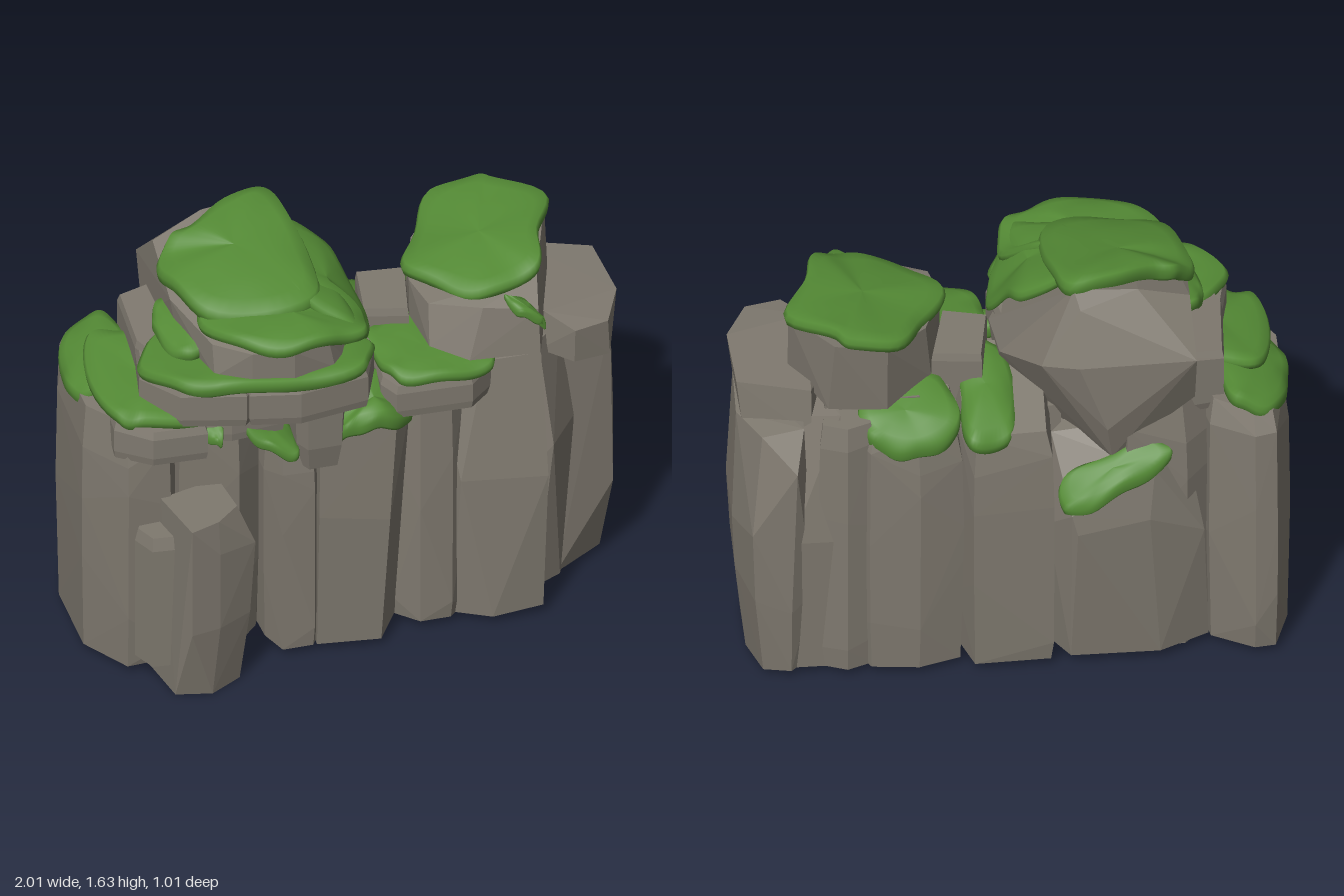
import * as THREE from 'three';
import { ConvexGeometry } from 'three/addons/geometries/ConvexGeometry.js';

const stone = new THREE.MeshStandardMaterial({ color: 0x7f796f });
stone.name = 'stone';
const mossGreen = new THREE.MeshStandardMaterial({ color: 0x548a35 });
mossGreen.name = 'moss green';

export function createModel() {
  const group = new THREE.Group();
  const add = (name, geometry, material) => {
    const mesh = new THREE.Mesh(geometry, material);
    mesh.name = name;
    group.add(mesh);
  };

  // Faceted stone: the hull of a few corner points
  const boulder = (name, pts) =>
    add(name, new ConvexGeometry(pts.map(p => new THREE.Vector3(...p))), stone);

  // Outline [x, z] stacked at levels [y, scale, random height], the upper half following the top slope
  const stack = (name, outline, levels, slopeX = 0, slopeZ = 0) => {
    const cx = outline.reduce((s, p) => s + p[0], 0) / outline.length;
    const cz = outline.reduce((s, p) => s + p[1], 0) / outline.length;
    const pts = [];
    levels.forEach(([y, s, vary = 0], l) => outline.forEach(([x, z]) => {
      const k = l >= levels.length / 2 ? 1 : 0;
      const h = Math.sin(x * 127.1 + z * 311.7 + l * 2.3);
      const dx = x - cx, dz = z - cz;
      pts.push([cx + dx * s, y + vary * h + k * (dx * slopeX + dz * slopeZ), cz + dz * s]);
    }));
    boulder(name, pts);
  };
  const column = (name, outline, top, slopeX, slopeZ) => stack(name, outline,
    [[0.03, 0.94], [0.3, 0.99, 0.2], [0.65, 1, 0.15], [top - 0.12, 0.97, 0.05], [top, 0.86]], slopeX, slopeZ);
  const block = (name, outline, y0, y1, slopeX, slopeZ) => stack(name, outline,
    [[y0, 0.97], [y0 + 0.03, 1], [y1 - 0.03, 1], [y1, 0.95]], slopeX, slopeZ);

  // Moss cushion: a smooth pad with a rolled, wavy rim through the edge points [x, y, z]
  const moss = (name, edge, t = 0.05, lift = 0.02) => {
    const area = edge.reduce((s, p, i) => {
      const q = edge[(i + 1) % edge.length];
      return s + p[0] * q[2] - q[0] * p[2];
    }, 0);
    const pts = edge.map(p => new THREE.Vector3(...p));
    if (area < 0) pts.reverse();
    const c = pts.reduce((s, p) => s.add(p), new THREE.Vector3()).divideScalar(pts.length);
    const n = 56;
    const rim = new THREE.CatmullRomCurve3(pts, true, 'centripetal').getPoints(n).slice(0, n);
    const rows = [[0.01, -t], [0.92, -t], [0.99, -t * 0.8], [1.01, -t * 0.35], [0.97, 0],
      [0.8, lift * 0.55], [0.5, lift * 0.95], [0.25, lift * 1.05], [0.001, lift]];
    const pos = [], index = [];
    rows.forEach(([s, dy], r) => rim.forEach((p, i) => {
      const a = i / n * Math.PI * 2;
      const k = s * (1 + (s > 0.9 ? 0.02 * Math.sin(7 * a + c.x * 9) : 0));
      const wave = s > 0.9 ? 0.008 * Math.sin(5 * a + c.z * 11) : 0;
      pos.push(c.x + (p.x - c.x) * k, c.y + (p.y - c.y) * s + dy + wave, c.z + (p.z - c.z) * k);
      if (r === rows.length - 1) return;
      const j = (i + 1) % n, a0 = r * n + i, a1 = r * n + j;
      index.push(a0, a0 + n, a1, a0 + n, a1 + n, a1);
    }));
    const g = new THREE.BufferGeometry();
    g.setAttribute('position', new THREE.Float32BufferAttribute(pos, 3));
    g.setIndex(index);
    g.computeVertexNormals();
    add(name, g, mossGreen);
  };

  // Cliff columns, right end to left end
  column('endColumnRight', [[-1, -0.26], [-0.94, -0.44], [-0.86, -0.45], [-0.7, -0.36], [-0.62, 0.05], [-0.72, 0.26], [-0.88, 0.27], [-1, 0.08]], 1.07, 0.08);
  column('recessedColumn', [[-0.72, -0.3], [-0.62, -0.4], [-0.4, -0.42], [-0.3, 0], [-0.36, 0.14], [-0.46, 0.24], [-0.68, 0.22]], 1.1);
  column('slimColumn', [[-0.37, -0.1], [-0.17, -0.1], [-0.16, 0.24], [-0.2, 0.31], [-0.32, 0.31], [-0.36, 0.2]], 0.9, -0.2);
  boulder('middleColumn', [[-0.19, 0.03, 0.3], [0.04, 0.03, 0.33], [0.15, 0.04, 0.16], [0.15, 0.04, -0.25], [-0.18, 0.04, -0.25],
    [-0.19, 0.6, 0.33], [0.07, 0.55, 0.34], [0.17, 0.7, 0.18], [-0.18, 0.94, 0.31], [0.1, 0.94, 0.32], [0.17, 0.94, 0.24],
    [-0.15, 1.03, 0.26], [0.12, 1.03, 0.22], [0.15, 1.03, -0.25], [-0.18, 1.03, -0.25]]);
  column('narrowColumn', [[0.13, -0.3], [0.36, -0.3], [0.4, 0.2], [0.32, 0.28], [0.2, 0.28], [0.12, 0.2]], 1.05);
  boulder('frontFacetColumn', [[0.33, 0.03, 0.24], [0.46, 0.03, 0.31], [0.65, 0.04, 0.3], [0.66, 0.06, -0.3], [0.32, 0.05, -0.3],
    [0.35, 0.62, 0.28], [0.31, 0.45, 0.2], [0.66, 0.62, 0.33], [0.7, 0.66, 0.15], [0.45, 1.1, 0.24], [0.65, 1.12, 0.27], [0.67, 1.14, -0.3], [0.33, 1.14, -0.3], [0.3, 1.0, 0.15]]);
  boulder('sideColumn', [[0.62, 0.03, -0.4], [0.78, 0.03, -0.4], [0.82, 0.04, 0], [0.76, 0.04, 0.13], [0.66, 0.04, 0.18],
    [0.6, 0.6, -0.42], [0.8, 0.6, -0.42], [0.82, 0.7, 0.1], [0.7, 0.7, 0.26], [0.64, 0.6, 0.22], [0.62, 1.12, -0.36], [0.76, 1.08, -0.3], [0.77, 1.1, 0.08], [0.66, 1.12, 0.2]]);
  boulder('endColumnLeft', [[0.74, 0.03, -0.36], [0.8, 0.03, -0.42], [0.9, 0.03, -0.4], [0.95, 0.03, -0.25], [0.95, 0.03, -0.02], [0.75, 0.04, 0.12],
    [0.72, 0.35, -0.38], [0.8, 0.3, -0.44], [0.93, 0.35, -0.42], [0.99, 0.4, -0.26], [0.98, 0.35, 0.05], [0.74, 0.4, 0.1],
    [1, 0.62, -0.26], [1, 0.65, -0.02], [0.96, 0.65, 0.05], [0.94, 0.65, -0.43], [0.78, 0.92, -0.44],
    [0.98, 1.04, -0.2], [0.97, 1.04, 0.05], [0.74, 1.04, 0.1], [0.9, 1.04, -0.36], [0.75, 1.07, -0.36]]);

  // Back columns
  boulder('backLedgeColumn', [[-0.7, 0.04, -0.34], [-0.52, 0.04, -0.43], [-0.2, 0.04, -0.43], [-0.12, 0.04, -0.3], [-0.68, 0.55, -0.4],
    [-0.48, 0.66, -0.47], [-0.22, 0.62, -0.49], [-0.12, 0.6, -0.38], [-0.5, 0.86, -0.44], [-0.2, 0.7, -0.48], [-0.6, 1, -0.3],
    [-0.14, 0.95, -0.3], [-0.6, 0.05, 0], [-0.15, 0.05, 0], [-0.4, 1, 0]]);
  column('backMiddleColumn', [[-0.14, -0.44], [0.15, -0.45], [0.2, -0.3], [0.2, 0], [-0.15, 0]], 1.1, 0, 0.3);
  column('backFacetColumn', [[0.18, -0.4], [0.34, -0.45], [0.52, -0.43], [0.6, -0.3], [0.55, 0], [0.2, 0]], 1.1, 0, 0.25);
  column('backSeamColumn', [[0.5, -0.4], [0.6, -0.44], [0.7, -0.4], [0.66, -0.1], [0.5, -0.1]], 1.1);

  // Fallen pillar pair in front
  boulder('frontPillar', [[-0.79, 0, 0.2], [-0.75, 0, 0.42], [-0.62, 0, 0.45], [-0.5, 0, 0.38], [-0.5, 0, 0.15], [-0.68, 0, 0.13],
    [-0.77, 0.3, 0.2], [-0.71, 0.3, 0.5], [-0.6, 0.3, 0.48], [-0.47, 0.3, 0.41], [-0.47, 0.3, 0.18], [-0.66, 0.4, 0.13],
    [-0.77, 0.6, 0.22], [-0.6, 0.62, 0.48], [-0.45, 0.6, 0.41], [-0.46, 0.6, 0.2], [-0.76, 0.75, 0.26], [-0.71, 0.75, 0.5], [-0.6, 0.75, 0.46], [-0.51, 0.75, 0.38], [-0.53, 0.75, 0.2]]);
  stack('frontPillarSplinter', [[-0.86, 0.28], [-0.82, 0.37], [-0.72, 0.38], [-0.7, 0.22], [-0.82, 0.21]],
    [[0.1, 1], [0.6, 1], [0.65, 0.85]]);

  // Blocks resting on the columns
  block('lowerLeftBlock', [[-0.92, 0.22], [-0.8, 0.31], [-0.6, 0.32], [-0.55, -0.1], [-0.9, -0.2]], 0.93, 1.09, 0, -0.1);
  block('upperLeftBlock', [[-0.76, -0.3], [-0.5, -0.35], [-0.4, 0.2], [-0.7, 0.22], [-0.78, 0]], 1.02, 1.28, 0.1);
  block('ledgeBlock', [[-0.81, 0.16], [-0.7, 0.31], [-0.47, 0.37], [-0.3, 0.2], [-0.4, -0.2], [-0.75, -0.15]], 1.08, 1.24);
  block('frontLedgeBlock', [[-0.46, 0.37], [-0.28, 0.41], [-0.02, 0.37], [0.05, 0.2], [0, -0.1], [-0.45, -0.1]], 1.08, 1.24);
  stack('wedgeBlock', [[-0.27, 0.3], [-0.24, 0.36], [-0.11, 0.36], [-0.08, 0.28], [-0.1, 0], [-0.26, 0]], [[0.82, 0.8], [0.92, 0.95], [1.1, 1]]);
  block('gapBlock', [[-0.62, 0.24], [-0.5, 0.28], [-0.3, 0.26], [-0.3, 0], [-0.6, 0]], 0.96, 1.12);
  block('centreBlock', [[0.06, 0.25], [0.1, 0.32], [0.38, 0.33], [0.47, 0.25], [0.45, -0.1], [0.08, -0.1]], 0.97, 1.12, 0, -0.1);
  block('rearCentreBlock', [[0.06, 0.02], [0.22, 0.06], [0.28, -0.2], [0.1, -0.22]], 1.02, 1.25);
  boulder('leftSlab', [[0.68, 1.04, 0.14], [0.78, 1.04, 0.25], [0.92, 1.03, 0.22], [0.97, 1.03, 0.06], [0.96, 1.01, -0.24], [0.72, 1.01, -0.33],
    [0.7, 1.2, 0.14], [0.78, 1.18, 0.26], [0.91, 1.18, 0.23], [0.99, 1.19, 0.06], [0.98, 1.19, -0.22], [0.72, 1.2, -0.31], [0.66, 1.15, -0.1]]);

  // Crowning boulders
  boulder('summitBoulder', [[-0.35, 0.9, -0.4], [-0.33, 1.05, -0.44], [-0.65, 1.12, -0.36], [-0.65, 1.34, -0.44], [-0.23, 1.33, -0.44], [-0.64, 1.5, -0.26],
    [-0.45, 1.57, -0.3], [-0.22, 1.59, -0.31], [-0.24, 1.53, -0.36], [-0.1, 1.3, -0.37], [0.03, 1.2, -0.14], [0.05, 1.18, 0.08], [0.03, 1.02, 0],
    [0, 1.12, 0.24], [-0.6, 1, 0.1], [-0.65, 1.42, 0], [-0.57, 1.27, 0.3], [-0.45, 1.27, 0.37], [-0.3, 1.27, 0.4], [-0.14, 1.27, 0.36],
    [-0.57, 1.39, 0.27], [-0.45, 1.39, 0.37], [-0.3, 1.39, 0.4], [-0.16, 1.38, 0.35]]);
  boulder('leftTopBoulder', [[0.23, 1.2, 0.03], [0.25, 1.19, 0.22], [0.38, 1.15, 0.29], [0.64, 1.14, 0.3], [0.67, 1.15, 0.22], [0.79, 1.2, -0.14],
    [0.66, 1.13, -0.33], [0.45, 1.12, -0.34], [0.28, 1.15, -0.2], [0.23, 1.35, 0.02], [0.26, 1.34, 0.17], [0.44, 1.34, 0.25], [0.64, 1.31, 0.27],
    [0.66, 1.4, 0.18], [0.79, 1.44, -0.18], [0.64, 1.43, -0.36], [0.45, 1.4, -0.36], [0.3, 1.37, -0.2]]);

  // Moss on the summit: crown, front apron and left shoulder
  moss('summitMoss', [[-0.66, 1.52, -0.12], [-0.6, 1.57, -0.18], [-0.52, 1.6, -0.2], [-0.36, 1.62, -0.28], [-0.22, 1.63, -0.32], [-0.16, 1.59, -0.2],
    [-0.14, 1.54, 0], [-0.15, 1.49, 0.2], [-0.35, 1.48, 0.26], [-0.56, 1.49, 0.2], [-0.65, 1.52, 0.02]], 0.07, 0.025);
  moss('summitApronMoss', [[-0.6, 1.46, 0.16], [-0.5, 1.45, 0.35], [-0.32, 1.44, 0.43], [-0.15, 1.44, 0.4], [-0.03, 1.41, 0.36], [0, 1.4, 0.2],
    [-0.15, 1.5, 0.08], [-0.4, 1.51, 0.06]], 0.05, 0.015);
  moss('summitShoulderMoss', [[-0.22, 1.57, -0.18], [-0.06, 1.49, -0.17], [0, 1.41, -0.06], [0.06, 1.27, 0.08], [0.02, 1.32, 0.22], [-0.04, 1.4, 0.33],
    [-0.18, 1.48, 0.25], [-0.28, 1.54, 0.05]], 0.05, 0.02);

  // Moss on the left boulder
  moss('leftBoulderMoss', [[0.22, 1.4, 0], [0.33, 1.39, 0.13], [0.44, 1.39, 0.22], [0.56, 1.41, 0.21], [0.66, 1.45, 0.19], [0.71, 1.47, 0.02],
    [0.8, 1.48, -0.2], [0.64, 1.48, -0.34], [0.58, 1.48, -0.38], [0.42, 1.44, -0.37], [0.31, 1.41, -0.2]], 0.055, 0.012);
  moss('leftBoulderDrip', [[0.52, 1.38, 0.24], [0.6, 1.36, 0.29], [0.66, 1.27, 0.3], [0.64, 1.3, 0.31], [0.56, 1.34, 0.3]], 0.03, 0.01);

  // Moss on the ledges
  moss('ledgeMoss', [[-0.81, 1.28, 0.14], [-0.72, 1.28, 0.31], [-0.55, 1.28, 0.37], [-0.28, 1.28, 0.42], [-0.03, 1.28, 0.38], [0.02, 1.28, 0.22], [-0.3, 1.28, 0.1], [-0.65, 1.28, -0.02]], 0.055, 0.005);
  moss('upperLeftMoss', [[-0.71, 1.32, 0.02], [-0.67, 1.31, 0.18], [-0.58, 1.34, 0.19], [-0.57, 1.36, 0], [-0.62, 1.36, -0.13], [-0.69, 1.34, -0.08]], 0.05, 0.01);
  moss('lowerLeftMoss', [[-0.92, 1.12, 0.22], [-0.82, 1.11, 0.27], [-0.6, 1.11, 0.3], [-0.6, 1.13, 0], [-0.74, 1.18, -0.2], [-0.9, 1.16, -0.22]], 0.05, 0.015);
  moss('endColumnMoss', [[-1, 1.06, -0.18], [-0.93, 1.08, -0.38], [-0.8, 1.13, -0.4], [-0.75, 1.15, -0.2], [-0.85, 1.14, 0], [-0.98, 1.07, -0.02]], 0.06, 0.02);
  moss('centreMoss', [[0.07, 1.16, 0.22], [0.12, 1.15, 0.31], [0.3, 1.14, 0.34], [0.46, 1.14, 0.3], [0.42, 1.17, 0], [0.2, 1.19, -0.02], [0.07, 1.18, 0.05]], 0.045, 0.01);
  moss('middleColumnMoss', [[-0.12, 0.96, 0.31], [-0.05, 1, 0.34], [0.06, 1.01, 0.35], [0.17, 0.96, 0.27], [0.12, 1.07, 0.16], [0, 1.1, 0.17]], 0.06, 0.03);
  moss('slimColumnMoss', [[-0.46, 1.02, 0.25], [-0.38, 0.95, 0.31], [-0.27, 0.9, 0.33], [-0.26, 0.93, 0.2], [-0.36, 1, 0.15]], 0.04, 0.01);
  moss('gapMoss', [[-0.6, 1.01, 0.25], [-0.55, 0.99, 0.31], [-0.53, 1.03, 0.26], [-0.57, 1.04, 0.2]], 0.03, 0.005);

  // Moss on the back
  moss('backMiddleMoss', [[-0.02, 1.1, -0.22], [0.02, 1.04, -0.42], [0.16, 1.04, -0.45], [0.18, 1.1, -0.25], [0.16, 1.19, -0.05], [0.04, 1.18, -0.05]], 0.06, 0.03);
  moss('backFacetMoss', [[0.2, 1.08, -0.39], [0.34, 1.03, -0.45], [0.48, 1.05, -0.43], [0.55, 1.1, -0.36], [0.5, 1.16, -0.22], [0.25, 1.16, -0.2]], 0.07, 0.02);
  moss('backLedgeMoss', [[-0.56, 0.93, -0.43], [-0.42, 0.86, -0.48], [-0.27, 0.78, -0.505], [-0.17, 0.75, -0.48], [-0.17, 0.82, -0.41], [-0.35, 0.91, -0.39], [-0.5, 0.97, -0.38]], 0.05, 0.02);
  moss('backBoulderTuft', [[-0.49, 1.44, -0.38], [-0.46, 1.42, -0.4], [-0.45, 1.48, -0.36], [-0.47, 1.48, -0.35]], 0.02, 0.01);

  return group;
}
